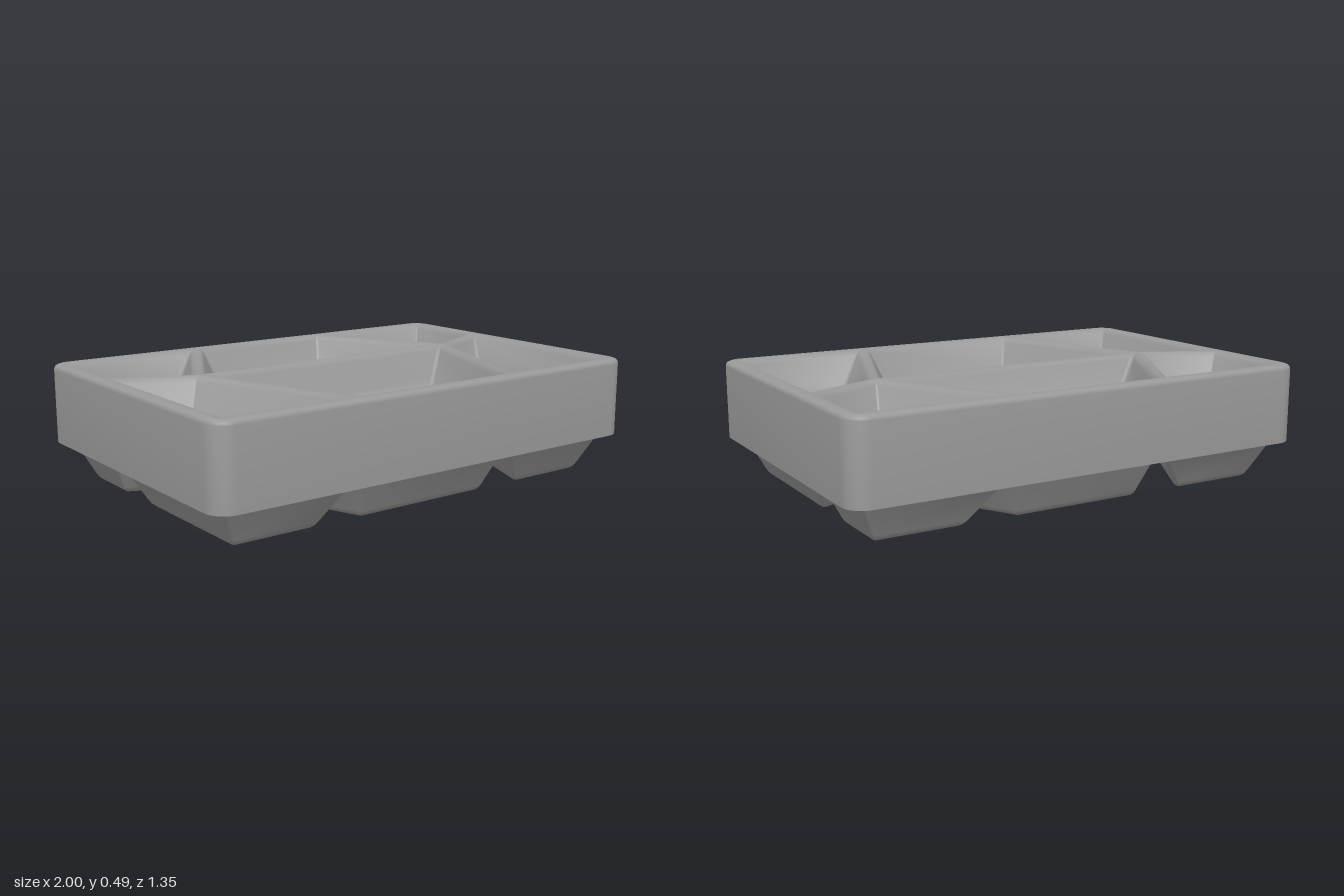
import * as THREE from 'three';
import { toCreasedNormals } from 'three/addons/utils/BufferGeometryUtils.js';

const TOP = 0.487, DEPTH = 0.163, DROP = TOP - DEPTH;
const ARC = 6; // segments per rounded corner

// Inset a convex polygon of [x, z] points by d, with corners rounded to radius r
function insetRing(poly, d, y, r) {
  const n = poly.length, ring = [];
  const inward = i => {
    const a = poly[i % n], b = poly[(i + 1) % n];
    return new THREE.Vector2(b[1] - a[1], a[0] - b[0]).normalize();
  };
  for (let i = 0; i < n; i++) {
    const n1 = inward(i + n - 1), n2 = inward(i);
    const k = (d + r) / (1 + n1.dot(n2));
    for (let s = 0; s <= ARC; s++) {
      const dir = n1.clone().lerp(n2, s / ARC).normalize();
      ring.push([
        poly[i][0] + k * (n1.x + n2.x) - r * dir.x, y,
        poly[i][1] + k * (n1.y + n2.y) - r * dir.y,
      ]);
    }
  }
  return ring;
}

// Join rings given as [inset, height, corner radius]; optionally close the last one
function loft(poly, profile, capped) {
  const rings = profile.map(([d, y, r]) => insetRing(poly, d, y, r));
  const m = rings[0].length, pos = [];
  for (let i = 0; i + 1 < rings.length; i++) {
    for (let j = 0; j < m; j++) {
      const k = (j + 1) % m, a = rings[i], b = rings[i + 1];
      pos.push(...a[j], ...a[k], ...b[j], ...a[k], ...b[k], ...b[j]);
    }
  }
  if (capped) {
    const last = rings[rings.length - 1];
    const c = [0, 1, 2].map(q => last.reduce((s, p) => s + p[q], 0) / m);
    for (let j = 0; j < m; j++) pos.push(...last[j], ...last[(j + 1) % m], ...c);
  }
  const g = new THREE.BufferGeometry();
  g.setAttribute('position', new THREE.Float32BufferAttribute(pos, 3));
  return toCreasedNormals(g, 0.8);
}

export function createModel() {
  const tray = new THREE.Group();
  tray.name = 'compartmentTray';
  const material = new THREE.MeshStandardMaterial({ color: 0x999999, side: THREE.DoubleSide });
  const add = (name, geometry, y = 0) => {
    const mesh = new THREE.Mesh(geometry, material);
    mesh.name = name;
    mesh.position.y = y;
    tray.add(mesh);
  };

  // Outer frame: underside lip, upright sides, rounded rim
  const X = 1, Z = 0.673, LIP = 0.045;
  const outline = [[-X, -Z], [-X, Z], [X, Z], [X, -Z]];
  add('frame', loft(outline, [
    [LIP, DEPTH, 0], [0, DEPTH, 0.08], [0, TOP - 0.02, 0.08], [0.002, TOP - 0.011, 0.078],
    [0.008, TOP - 0.004, 0.072], [0.02, TOP, 0.06], [LIP, TOP, 0],
  ], false));

  // Compartment outlines, meeting along the middle of the ridges
  const ix = X - LIP, iz = Z - LIP;
  const node = [-0.632, -0.074], side = [-ix, -0.22], back = [-0.325, -iz], front = [-0.365, iz];
  const flip = ([x, z]) => [-x, z];
  const mirror = poly => poly.map(flip).reverse();
  const backCorner = [[-ix, -iz], side, node, back];
  const frontCorner = [side, [-ix, iz], front, node];
  const compartments = {
    backRight: backCorner,
    backLeft: mirror(backCorner),
    frontRight: frontCorner,
    frontLeft: mirror(frontCorner),
    backCentre: [back, node, flip(node), flip(back)],
    frontCentre: [node, front, flip(front), flip(node)],
  };

  // Rounded ridge edge, sloping wall, rounded floor edge, flat floor
  const wall = [
    [0, TOP, 0], [0.012, TOP - 0.002, 0.004], [0.022, TOP - 0.008, 0.008],
    [0.031, TOP - 0.023, 0.012], [0.084, DROP + 0.026, 0.014], [0.092, DROP + 0.012, 0.014],
    [0.102, DROP + 0.003, 0.012], [0.117, DROP, 0.01], [0.13, DROP, 0.01],
  ];
  for (const [name, poly] of Object.entries(compartments)) {
    const geometry = loft(poly, wall, true);
    add(name + 'Compartment', geometry);
    // The same pressed shape shows underneath
    add(name + 'Underside', geometry, -DROP);
  }
  return tray;
}
